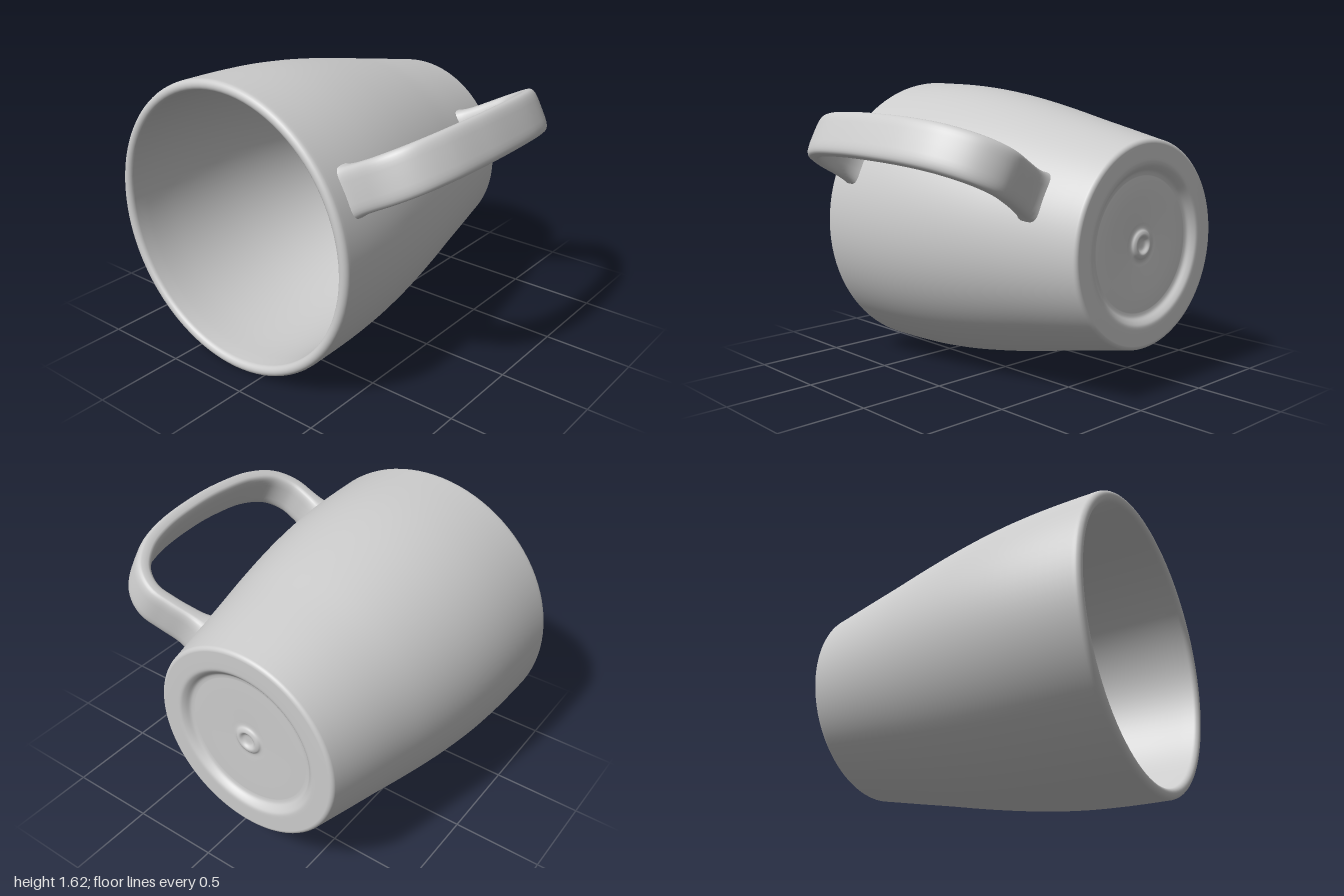
import * as THREE from 'three';

const material = new THREE.MeshStandardMaterial({ color: 0xcccccc, roughness: 0.6 });
const v2 = (list) => list.map(([x, y]) => new THREE.Vector2(x, y));
const spline = (list, n) => new THREE.SplineCurve(v2(list)).getPoints(n);

// Quarter-round and half-round edges in the profile
function arc(cx, cy, r, from, to, n) {
  return Array.from({ length: n + 1 }, (_, i) => {
    const a = THREE.MathUtils.degToRad(from + ((to - from) * i) / n);
    return new THREE.Vector2(cx + r * Math.cos(a), cy + r * Math.sin(a));
  });
}

// Cup: one closed profile from the underside, up the wall, over the lip and down to the floor
function makeCup() {
  const profile = [
    // sunken underside with a small central ring, then the foot ring
    ...spline([[0, -0.825], [0.03, -0.827], [0.05, -0.842], [0.07, -0.838], [0.085, -0.828], [0.12, -0.828]], 18),
    ...v2([[0.25, -0.83], [0.34, -0.83]]),
    ...spline([[0.36, -0.829], [0.385, -0.834], [0.405, -0.854], [0.425, -0.868], [0.45, -0.87]], 14),
    ...arc(0.53, -0.845, 0.025, -90, -12, 6),
    // outer wall
    ...spline([[0.565, -0.8], [0.609, -0.6], [0.652, -0.4], [0.697, -0.2], [0.737, 0],
      [0.77, 0.2], [0.793, 0.4], [0.805, 0.6], [0.81, 0.82]], 40),
    // rounded lip
    ...arc(0.78, 0.835, 0.03, 0, 180, 12),
    // inner wall and floor
    ...spline([[0.748, 0.78], [0.745, 0.6], [0.732, 0.4], [0.709, 0.2], [0.676, 0], [0.636, -0.2],
      [0.592, -0.4], [0.545, -0.6], [0.52, -0.7], [0.49, -0.75], [0.43, -0.77]], 50),
    ...v2([[0.36, -0.772], [0.2, -0.772], [0, -0.772]]),
  ];
  const cup = new THREE.Mesh(new THREE.LatheGeometry(profile, 96).rotateX(Math.PI / 2), material);
  cup.name = 'cup';
  return cup;
}

// Handle: a flat rounded strap swept along a D-shaped path (radial distance, z), flared at its roots
function makeHandle() {
  const path = new THREE.CatmullRomCurve3([
    [0.585, -0.565], [0.68, -0.585], [0.8, -0.62], [0.92, -0.642], [1.04, -0.595], [1.145, -0.46],
    [1.203, -0.28], [1.234, 0], [1.234, 0.22], [1.202, 0.46], [1.13, 0.61],
    [1.02, 0.682], [0.9, 0.695], [0.775, 0.69],
  ].map(([r, z]) => new THREE.Vector3(r, 0, z)));

  const steps = 90, sides = 32, positions = [], index = [];
  const up = new THREE.Vector3(0, 1, 0);
  const soften = (c, power) => Math.sign(c) * Math.abs(c) ** power;
  const length = path.getLength();

  for (let i = 0; i <= steps; i++) {
    const u = i / steps;
    const p = path.getPointAt(u);
    const normal = new THREE.Vector3().crossVectors(up, path.getTangentAt(u));
    const toRoot = Math.min(u, 1 - u) * length;
    const flare = 0.035 * Math.exp(-toRoot / 0.05);
    const halfThick = 0.045 + flare, halfWidth = 0.12 + flare * 0.6;
    for (let j = 0; j < sides; j++) {
      const a = (j / sides) * Math.PI * 2;
      const q = p.clone()
        .addScaledVector(normal, halfThick * soften(Math.cos(a), 0.6))
        .addScaledVector(up, halfWidth * soften(Math.sin(a), 0.5));
      positions.push(q.x, q.y, q.z);
      if (i < steps) {
        const k = (j + 1) % sides, row = i * sides, next = row + sides;
        index.push(row + j, row + k, next + j, row + k, next + k, next + j);
      }
    }
  }
  const geometry = new THREE.BufferGeometry();
  geometry.setAttribute('position', new THREE.Float32BufferAttribute(positions, 3));
  geometry.setIndex(index);
  geometry.computeVertexNormals();
  const handle = new THREE.Mesh(geometry, material);
  handle.name = 'handle';
  return handle;
}

export function createModel() {
  const group = new THREE.Group();
  group.name = 'mug';
  // The mug lies on its side, mouth forward, handle turned partly upward
  const mug = new THREE.Group();
  mug.name = 'mugBody';
  mug.add(makeCup(), makeHandle());
  mug.position.set(-0.19, 0.81, 0);
  mug.rotation.z = THREE.MathUtils.degToRad(27.6);
  group.add(mug);
  return group;
}
